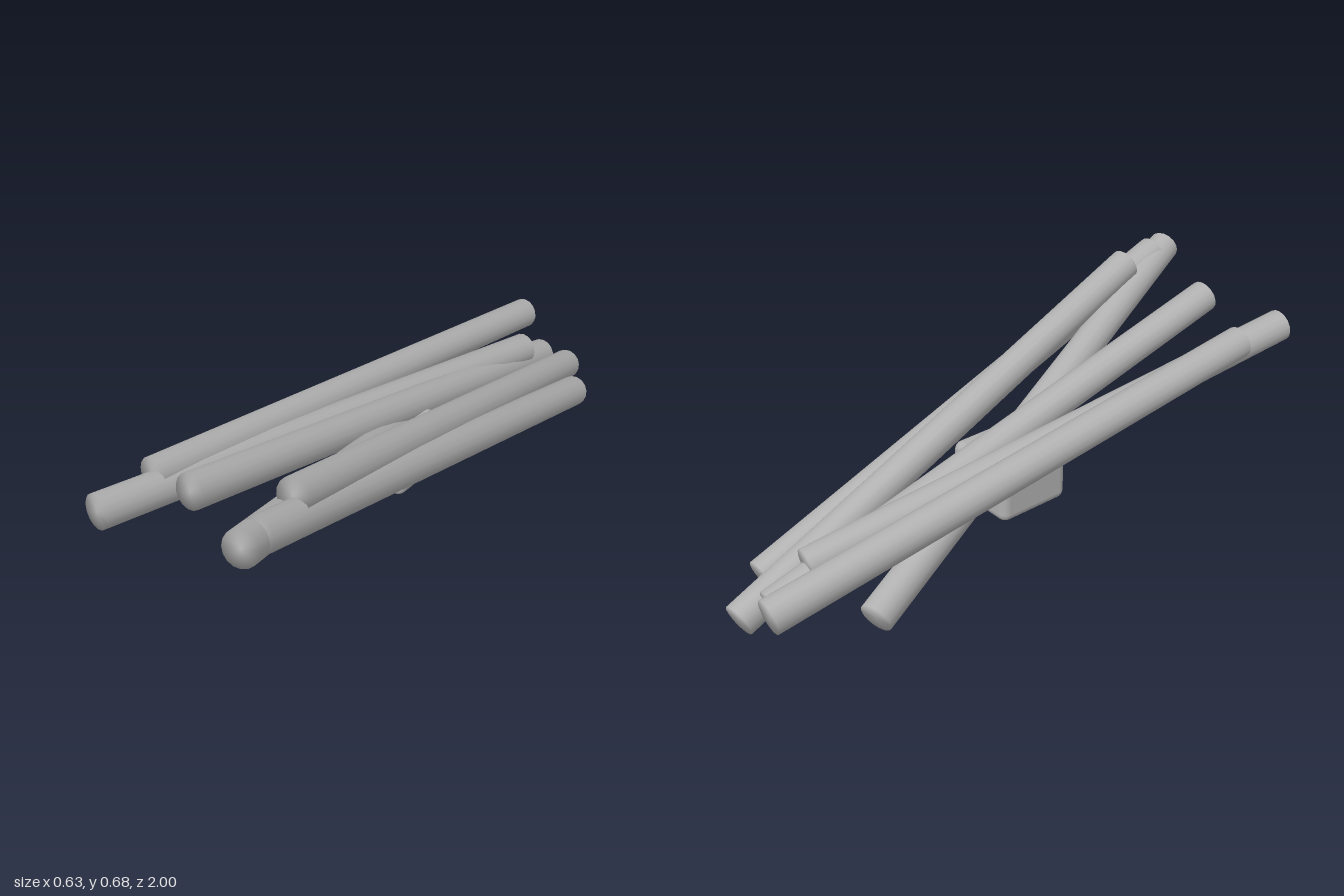
import * as THREE from 'three';
import { mergeVertices } from 'three/addons/utils/BufferGeometryUtils.js';
import { RoundedBoxGeometry } from 'three/addons/geometries/RoundedBoxGeometry.js';

const ROD_RADIUS = 0.054;
const ROD_SIDES = 16;

// Front and back centre of each leaning rod
const RODS = [
  ['lowerRightRod', [-0.262, 0.498, 0.99], [-0.052, 0.2, -0.785]],
  ['upperRightRod', [-0.262, 0.498, 0.785], [-0.187, 0.2, -0.99]],
  ['middleRod', [-0.051, 0.578, 0.835], [-0.051, 0.113, -0.91]],
  ['crossingRod', [0.26, 0.635, 0.955], [-0.22, 0.056, -0.67]],
  ['upperLeftRod', [0.225, 0.635, 0.725], [0.02, 0.058, -0.98]],
  ['lowerLeftRod', [0.255, 0.63, 0.89], [0.146, 0.073, -0.83]],
];

// Capped cylinder whose caps and sides share smooth normals
function rodGeometry(length) {
  const geometry = new THREE.CylinderGeometry(ROD_RADIUS, ROD_RADIUS, length, ROD_SIDES);
  geometry.deleteAttribute('uv');
  geometry.deleteAttribute('normal');
  const smooth = mergeVertices(geometry, 1e-4);
  smooth.computeVertexNormals();
  return smooth;
}

function makeRod(name, front, back, material) {
  const a = new THREE.Vector3(...back);
  const b = new THREE.Vector3(...front);
  const axis = b.clone().sub(a);
  const rod = new THREE.Mesh(rodGeometry(axis.length()), material);
  rod.name = name;
  rod.position.copy(a).add(b).multiplyScalar(0.5);
  rod.quaternion.setFromUnitVectors(new THREE.Vector3(0, 1, 0), axis.normalize());
  return rod;
}

export function createModel() {
  const model = new THREE.Group();
  model.name = 'rodBundle';

  const grey = new THREE.MeshStandardMaterial({ color: 0xb0b0b0 });
  grey.name = 'light grey';

  // Rounded block under the crossing point
  const block = new THREE.Mesh(new RoundedBoxGeometry(0.26, 0.19, 0.26, 3, 0.03), grey);
  block.name = 'centreBlock';
  block.position.set(-0.05, 0.225, -0.03);
  model.add(block);

  // Bundle of rods, high at the front and low at the back
  for (const [name, front, back] of RODS) model.add(makeRod(name, front, back, grey));

  return model;
}
